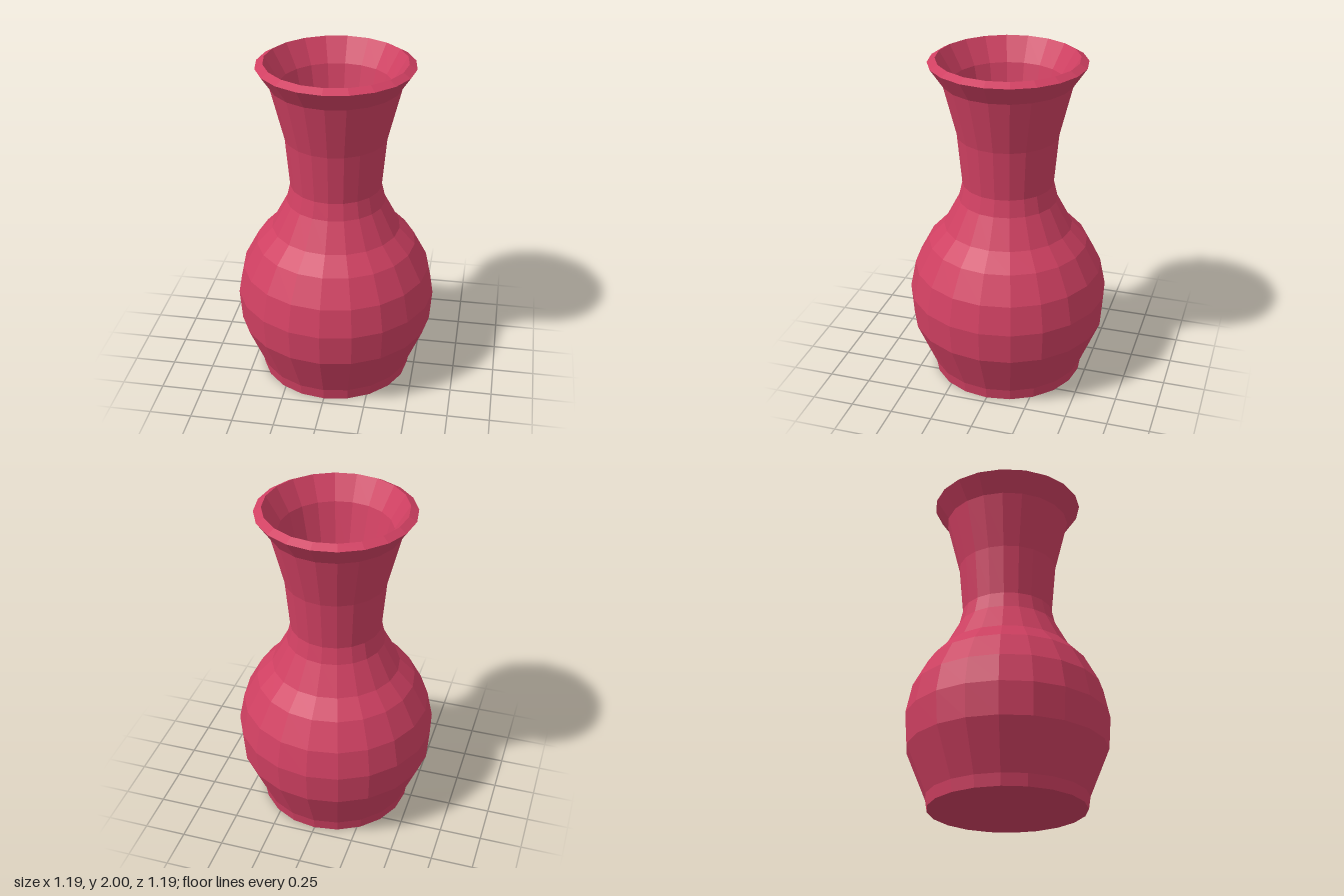
import * as THREE from 'three';

const SIDES = 20;

export function createModel() {
  const material = new THREE.MeshStandardMaterial({ color: 0xd04062, flatShading: true });

  // [radius, height] rows
  const outer = [
    [0, 0], [0.456, 0], [0.467, 0.07], [0.583, 0.35], [0.597, 0.54], [0.562, 0.71],
    [0.477, 0.87], [0.383, 0.97], [0.293, 1.14], [0.27, 1.24], [0.297, 1.54],
    [0.377, 1.86], [0.455, 1.975],
  ];
  const inner = [
    [0.41, 2], [0.325, 1.86], [0.245, 1.54], [0.216, 1.24], [0.242, 1.13],
    [0.345, 0.94], [0.435, 0.84], [0.512, 0.69], [0.545, 0.54], [0.532, 0.36],
    [0.418, 0.07], [0, 0.07],
  ];

  // One closed wall: base, outside, rim, inside, floor
  const profile = [...outer, ...inner].map(([r, y]) => new THREE.Vector2(r, y));
  const vase = new THREE.Mesh(new THREE.LatheGeometry(profile, SIDES), material);
  vase.name = 'vase';

  const group = new THREE.Group();
  group.name = 'flowerVase';
  group.add(vase);
  return group;
}
